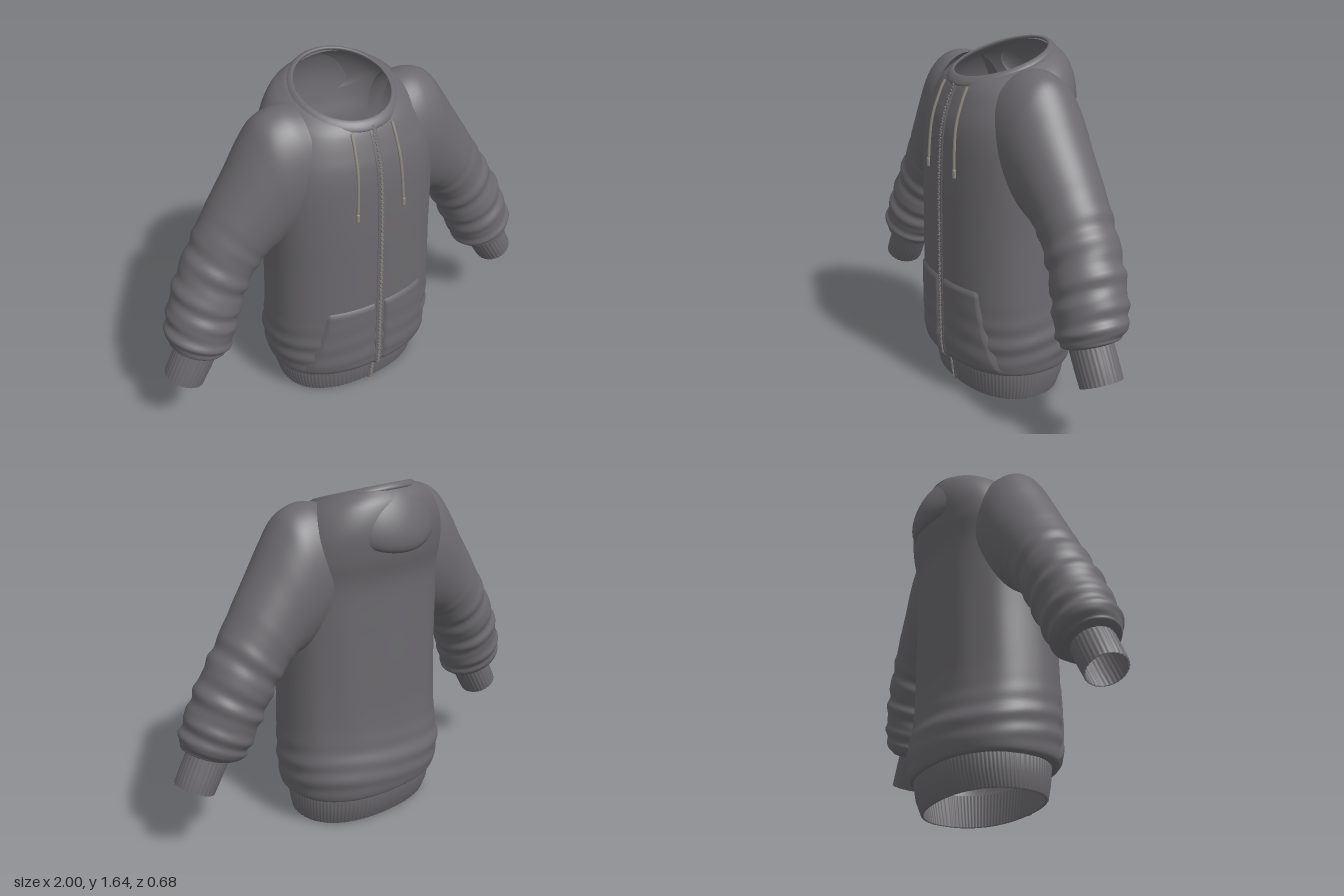
import * as THREE from 'three';
import { mergeGeometries } from 'three/addons/utils/BufferGeometryUtils.js';

const TAU = Math.PI * 2;

// Catmull-Rom blend between table rows at fractional index t
function sample(rows, t) {
  const last = rows.length - 1;
  const i = Math.min(Math.floor(t), last - 1), f = t - i;
  const row = k => rows[Math.max(0, Math.min(last, k))];
  const [a, b, c, d] = [row(i - 1), row(i), row(i + 1), row(i + 2)];
  return b.map((v, k) => v + 0.5 * f * (c[k] - a[k] +
    f * (2 * a[k] - 5 * v + 4 * c[k] - d[k] + f * (3 * (v - c[k]) + d[k] - a[k]))));
}

// Surface from point(row, column); wrap closes each row into a ring
function loft(nr, nc, point, wrap = true) {
  const pos = [], index = [], cols = wrap ? nc : nc + 1;
  for (let r = 0; r <= nr; r++)
    for (let c = 0; c < cols; c++) pos.push(...point(r, c));
  for (let r = 0; r < nr; r++)
    for (let c = 0; c < nc; c++) {
      const a = r * cols + c, b = r * cols + (c + 1) % cols;
      index.push(a, b, a + cols, b, b + cols, a + cols);
    }
  const g = new THREE.BufferGeometry();
  g.setAttribute('position', new THREE.Float32BufferAttribute(pos, 3));
  g.setIndex(index);
  g.computeVertexNormals();
  return g;
}

// Torso rows: y, half width, front z, back z, neck tilt
const torsoRows = [
  [0.145, 0.38, 0.28, -0.25, 0], [0.155, 0.41, 0.318, -0.27, 0],
  [0.22, 0.423, 0.328, -0.284, 0], [0.30, 0.43, 0.33, -0.285, 0],
  [0.40, 0.426, 0.33, -0.262, 0], [0.55, 0.42, 0.33, -0.25, 0],
  [0.80, 0.413, 0.328, -0.25, 0], [1.00, 0.413, 0.325, -0.25, 0],
  [1.20, 0.41, 0.315, -0.255, 0], [1.32, 0.40, 0.30, -0.285, 0.01],
  [1.42, 0.37, 0.275, -0.30, 0.03], [1.50, 0.32, 0.25, -0.28, 0.05],
  [1.545, 0.26, 0.23, -0.24, 0.065], [1.56, 0.225, 0.215, -0.215, 0.07],
];
const POWER = 2.3;
const bend = v => Math.sign(v) * Math.abs(v) ** (2 / POWER);

// Height and depth of the chest at x on torso row t
function chest(t, x) {
  const [y, rx, zf, zb, tilt] = sample(torsoRows, t);
  const k = Math.max(0, 1 - Math.abs(x / rx) ** POWER) ** (1 / POWER);
  const z = (zf + zb) / 2 + k * (zf - zb) / 2;
  return [y - tilt * z / 0.22, z];
}

// Depth of the chest at a given x and y
function frontZ(x, y) {
  if (y < 0.14) return 0.262 + 0.12 * y;
  let lo = 0, hi = torsoRows.length - 1;
  for (let i = 0; i < 24; i++) {
    const mid = (lo + hi) / 2;
    if (chest(mid, x)[0] < y) lo = mid; else hi = mid;
  }
  return chest(lo, x)[1];
}

function torsoGeometry() {
  const nr = 104, nc = 112;
  return loft(nr, nc, (r, c) => {
    const a = -c / nc * TAU;
    const [y, rx, zf, zb, tilt] = sample(torsoRows, r / nr * (torsoRows.length - 1));
    // Soft folds above the hem and long drapes down the back
    const low = Math.exp(-(((y - 0.3) / 0.12) ** 2)) * Math.min(1, Math.max(0, (y - 0.15) * 15));
    const mid = Math.exp(-(((y - 0.75) / 0.35) ** 2));
    const back = Math.max(0, -Math.sin(a));
    const s = 1 + 0.011 * low * Math.sin(y * 62 + 2 * Math.sin(a * 2)) +
      0.009 * mid * back * Math.sin(a * 11) * (1 - low);
    const x = rx * bend(Math.cos(a)) * s;
    const z = (zf + zb) / 2 + (zf - zb) / 2 * bend(Math.sin(a)) * s;
    return [x, y - tilt * z / 0.22, z];
  });
}

// Sleeve rows: outer x, y, inner x, y, half depth, centre z
const sleeveRows = [
  [0.26, 1.55, 0.25, 0.98, 0.20, 0.02], [0.34, 1.555, 0.29, 0.94, 0.20, 0.02],
  [0.43, 1.52, 0.34, 0.91, 0.195, 0.018], [0.50, 1.43, 0.38, 0.895, 0.188, 0.015],
  [0.575, 1.31, 0.405, 0.89, 0.18, 0.015], [0.66, 1.18, 0.43, 0.885, 0.172, 0.013],
  [0.73, 1.07, 0.47, 0.85, 0.165, 0.012], [0.79, 0.97, 0.52, 0.79, 0.162, 0.015],
  [0.85, 0.87, 0.565, 0.71, 0.162, 0.022], [0.90, 0.77, 0.60, 0.635, 0.163, 0.033],
  [0.935, 0.68, 0.635, 0.555, 0.162, 0.045], [0.962, 0.60, 0.665, 0.485, 0.155, 0.055],
  [0.955, 0.545, 0.70, 0.445, 0.13, 0.065], [0.915, 0.51, 0.745, 0.45, 0.09, 0.073],
];
const sleeveRing = ([ox, oy, ix, iy, d, cz], a, s) => [
  (ox + ix) / 2 + (ox - ix) / 2 * Math.cos(a) * s,
  (oy + iy) / 2 + (oy - iy) / 2 * Math.cos(a) * s,
  cz + d * Math.sin(a) * s,
];

function sleeveGeometry() {
  const nr = 110, nc = 56, last = sleeveRows.length - 1;
  return loft(nr, nc, (r, c) => {
    const t = r / nr * last, a = c / nc * TAU;
    // Gathered folds grow from elbow to wrist
    const fold = THREE.MathUtils.smoothstep(t, 4.5, 8) * (1 - THREE.MathUtils.smoothstep(t, 12, 13));
    const s = 1 + fold * (0.032 * Math.sin(t * 5.2 + 1.4 * Math.sin(a + 0.6)) +
      0.014 * Math.sin(t * 8.7 + 2 * Math.cos(a)));
    return sleeveRing(sample(sleeveRows, t), a, s);
  });
}

// Ribbed cuff, turned in at the open end
function cuffGeometry() {
  const top = [0.92, 0.53, 0.737, 0.455, 0.093, 0.074], end = [0.998, 0.38, 0.832, 0.30, 0.094, 0.075];
  const steps = [[0, 1], [0.5, 1.01], [1, 1], [1, 0.92], [0.5, 0.92], [0, 0.9]];
  const nc = 120;
  return loft(steps.length - 1, nc, (r, c) => {
    const [f, s] = steps[r];
    const row = top.map((v, i) => v + (end[i] - v) * f);
    return sleeveRing(row, c / nc * TAU, s * (1 + 0.014 * Math.cos(c / nc * TAU * 30)));
  });
}

// Ribbed hem band with an inner wall
function hemGeometry() {
  const steps = [[0.16, 0.365, 0.27, -0.24], [0.16, 0.383, 0.283, -0.256], [0.07, 0.376, 0.274, -0.24],
    [0.005, 0.362, 0.262, -0.213], [0, 0.355, 0.255, -0.206], [0.005, 0.347, 0.247, -0.198],
    [0.16, 0.365, 0.268, -0.238]];
  const nc = 400;
  return loft(steps.length - 1, nc, (r, c) => {
    const [y, rx, zf, zb] = steps[r], a = c / nc * TAU;
    const s = 1 + 0.005 * Math.cos(a * 100);
    return [rx * bend(Math.cos(a)) * s, y, (zf + zb) / 2 + (zf - zb) / 2 * bend(Math.sin(a)) * s];
  });
}

// Front pocket: slanted panel raised from the chest
function pocketGeometry() {
  const n = 24;
  return loft(n, n, (r, c) => {
    const edge = r === 0 || r === n || c === 0 || c === n;
    const v = r / n, y = 0.155 + 0.405 * v;
    const side = 0.362 - 0.10 * v - 0.012 * Math.sin(v * Math.PI);
    const x = 0.022 + (side - 0.022) * c / n;
    const wave = 0.003 * Math.sin(y * 55 + x * 6) * (1 - v);
    return [x, y, frontZ(x, y) + (edge ? -0.004 : 0.01 + wave)];
  }, false);
}

// Hood folded down over the upper back
function hoodGeometry() {
  const g = new THREE.SphereGeometry(1, 48, 20, 0, TAU, 0, Math.PI / 2);
  g.scale(0.27, 0.062, 0.15).rotateX(-1.196).translate(0, 1.485, -0.256);
  const p = g.attributes.position;
  for (let i = 0; i < p.count; i++) p.setZ(i, p.getZ(i) + 1.15 * p.getX(i) ** 2);
  g.computeVertexNormals();
  return g;
}

// Flattened band round the tilted neckline
function collarGeometry() {
  const nr = 96, nc = 12;
  return loft(nr, nc, (r, c) => {
    const a = r / nr * TAU, b = c / nc * TAU;
    const rad = 0.23 + 0.018 * Math.cos(b);
    const z = Math.sin(a) * rad;
    return [Math.cos(a) * rad, 1.553 - 0.07 * z / 0.22 + 0.012 * Math.sin(b) - 0.012 * Math.cos(b), z];
  });
}

export function createModel() {
  const model = new THREE.Group();
  model.name = 'zipJacket';
  const mat = (name, color) => {
    const m = new THREE.MeshStandardMaterial({ color, side: THREE.DoubleSide });
    m.name = name;
    return m;
  };
  const cloth = mat('greyCloth', 0x6b696d);
  const cord = mat('paleCord', 0x8c877f);
  const metal = mat('zipMetal', 0x7d7976);
  const add = (name, geometry, material = cloth, parent = model) => {
    const mesh = new THREE.Mesh(geometry, material);
    mesh.name = name;
    parent.add(mesh);
  };

  add('torso', torsoGeometry());
  add('hemBand', hemGeometry());
  add('foldedHood', hoodGeometry());
  add('collarBand', collarGeometry());

  // Sleeve, cuff, pocket and drawstring, mirrored for each side
  const cordPoints = [];
  for (let i = 0; i <= 12; i++) {
    const f = i / 12, x = 0.102 + 0.019 * f, y = 1.465 - 0.38 * f;
    cordPoints.push(new THREE.Vector3(x, y, frontZ(x, y) + 0.005));
  }
  const cordCurve = new THREE.CatmullRomCurve3(cordPoints);
  const tip = new THREE.CapsuleGeometry(0.009, 0.03, 4, 10);
  tip.translate(...cordPoints[12].toArray());
  const parts = [['Sleeve', sleeveGeometry(), cloth], ['Cuff', cuffGeometry(), cloth],
    ['Pocket', pocketGeometry(), cloth],
    ['Drawstring', new THREE.TubeGeometry(cordCurve, 40, 0.007, 8), cord], ['DrawstringTip', tip, cord]];
  for (const [side, sign] of [['left', 1], ['right', -1]]) {
    const half = new THREE.Group();
    half.name = side + 'Side';
    half.scale.x = sign;
    for (const [name, geometry, material] of parts) add(side + name, geometry, material, half);
    model.add(half);
  }

  // Zip: cloth tape with a row of small teeth
  const tapeAcross = [-0.018, -0.015, 0.015, 0.018];
  add('zipTape', loft(90, 3, (r, c) => {
    const y = 0.004 + 1.484 * r / 90;
    return [tapeAcross[c], y, frontZ(0, y) + (c % 3 ? 0.006 : -0.004)];
  }, false));
  const teeth = [];
  for (let i = 0; i < 118; i++) {
    const y = 0.012 + i * 0.0125;
    teeth.push(new THREE.BoxGeometry(0.012, 0.007, 0.008)
      .translate(i % 2 ? 0.002 : -0.002, y, frontZ(0, y) + 0.008));
  }
  add('zipTeeth', mergeGeometries(teeth), metal);
  return model;
}
